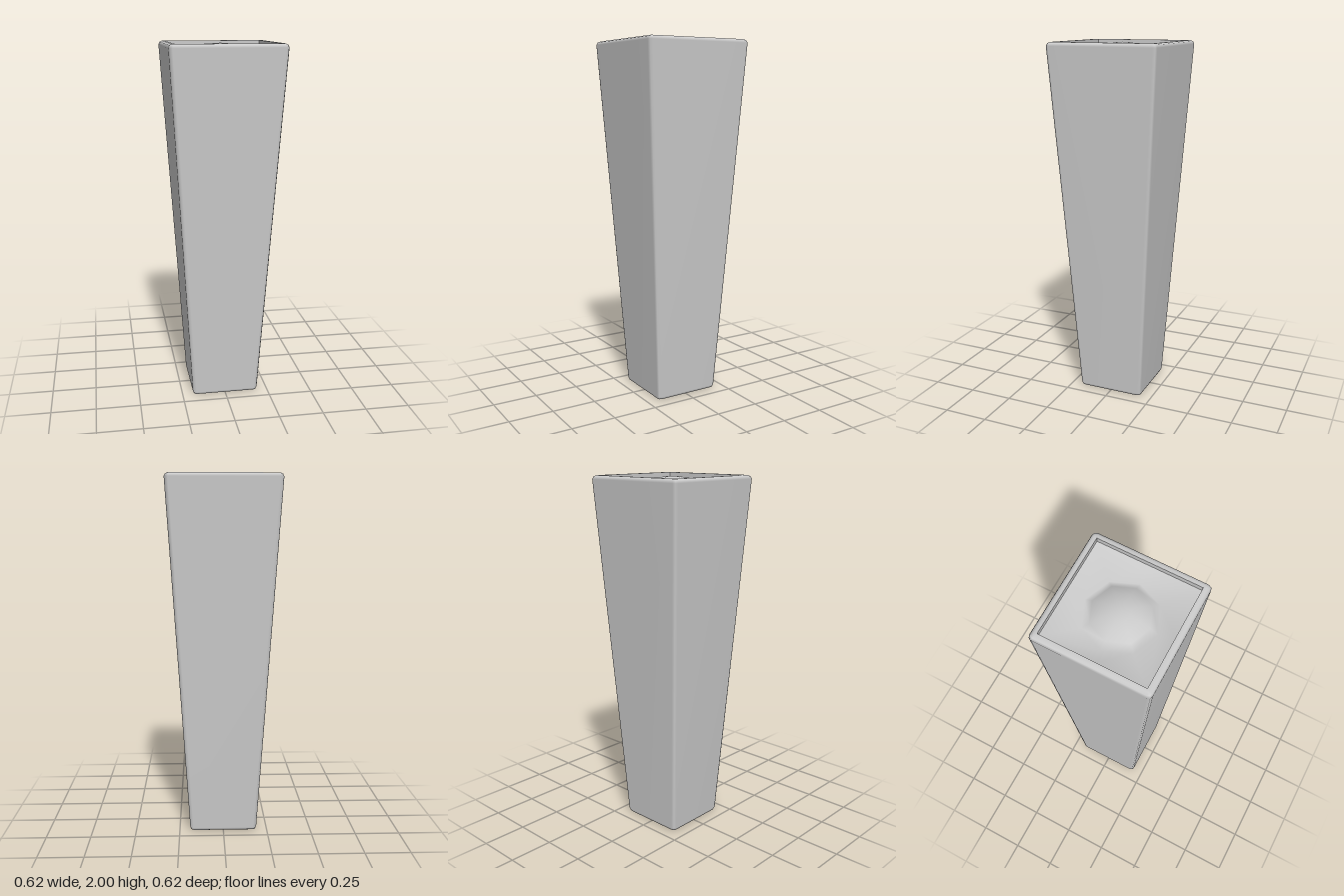
import * as THREE from 'three';

// Smooth surface lofted through closed rings of [x, y, z] points (counter-clockwise from above, listed bottom/outside first)
function loft(rings) {
  const n = rings[0].length, index = [];
  for (let r = 0; r < rings.length - 1; r++) {
    for (let i = 0; i < n; i++) {
      const j = (i + 1) % n, a = r * n + i, b = r * n + j, c = a + n, d = b + n;
      index.push(a, b, d, a, d, c);
    }
  }
  const g = new THREE.BufferGeometry();
  g.setAttribute('position', new THREE.Float32BufferAttribute(rings.flat(2), 3));
  g.setIndex(index);
  g.computeVertexNormals();
  return g;
}

// Square ring of half width h with corners rounded by c
function squareRing(h, c, y) {
  const pts = [];
  for (let k = 0; k < 4; k++) {
    for (let s = 0; s <= 2; s++) {
      const a = k * Math.PI / 2 + s * Math.PI / 4;
      const m = (k + 0.5) * Math.PI / 2;
      const x = Math.sign(Math.cos(m)) * (h - c) + c * Math.cos(a);
      const z = Math.sign(Math.sin(m)) * (h - c) + c * Math.sin(a);
      pts.push([x, y, -z]);
    }
  }
  return pts;
}

// Soil mound: centre, octagonal rings and a square border
function soilGeometry(half) {
  const profile = [[0.19, 1.93], [0.15, 1.957], [0.1, 1.98], [0.05, 1.992]];
  const dirs = Array.from({ length: 8 }, (_, i) => [Math.cos(i * Math.PI / 4), -Math.sin(i * Math.PI / 4)]);
  const border = dirs.map(([x, z]) => {
    const k = half / Math.max(Math.abs(x), Math.abs(z));
    return [x * k, 1.972, z * k];
  });
  const rings = profile.map(([r, y]) => dirs.map(([x, z]) => [x * r, y, z * r]));
  const verts = [border, ...rings].flat();
  const index = [];
  for (let r = 0; r < 4; r++) {
    for (let i = 0; i < 8; i++) {
      const j = (i + 1) % 8, a = r * 8 + i, b = r * 8 + j;
      index.push(a, b, b + 8, a, b + 8, a + 8);
    }
  }
  const centre = verts.push([0, 1.996, 0]) - 1;
  for (let i = 0; i < 8; i++) index.push(32 + i, 32 + (i + 1) % 8, centre);
  const g = new THREE.BufferGeometry();
  g.setAttribute('position', new THREE.Float32BufferAttribute(verts.flat(), 3));
  g.setIndex(index);
  g.computeVertexNormals();
  return g;
}

export function createModel() {
  const group = new THREE.Group();
  group.name = 'planter';
  const grey = new THREE.MeshStandardMaterial({ color: 0xcccccc });
  const wallGrey = new THREE.MeshStandardMaterial({ color: 0xcccccc, flatShading: true, side: THREE.DoubleSide });
  const inner = 0.275;

  function add(name, geometry, material) {
    const mesh = new THREE.Mesh(geometry, material);
    mesh.name = name;
    group.add(mesh);
    return mesh;
  }

  // Tapered pot: closed base, bevelled edges, flat rim
  add('pot', loft([
    squareRing(0, 0, 0),
    squareRing(0.171, 0.012, 0),
    squareRing(0.184, 0.018, 0.006),
    squareRing(0.19, 0.02, 0.02),
    squareRing(0.31, 0.02, 1.98),
    squareRing(0.304, 0.018, 1.994),
    squareRing(0.291, 0.012, 2),
    squareRing(inner, 0, 2),
  ]), grey);

  // Inner wall from the rim down past the soil edge
  const wall = new THREE.CylinderGeometry(inner * Math.SQRT2, inner * Math.SQRT2, 0.05, 4, 1, true);
  wall.rotateY(Math.PI / 4);
  add('innerWall', wall, wallGrey).position.y = 1.975;

  add('soil', soilGeometry(inner), grey);
  return group;
}
